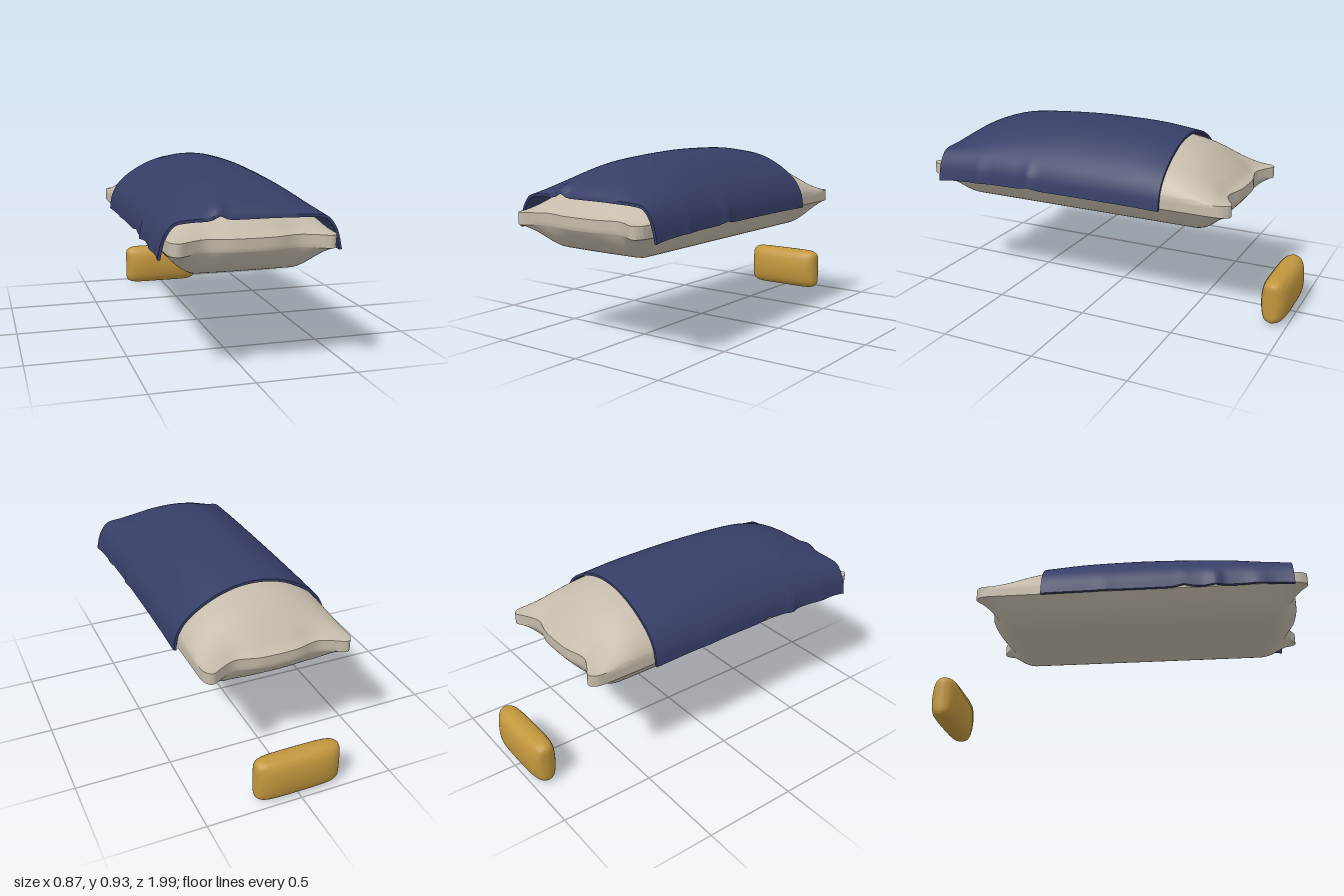
import * as THREE from 'three';
import { mergeVertices, toCreasedNormals } from 'three/addons/utils/BufferGeometryUtils.js';

const clamp = THREE.MathUtils.clamp;
const bump = (v, centre, width) => Math.exp(-(((v - centre) / width) ** 2));
const spread = v => Math.sin(v * Math.PI / 2); // packs grid lines toward the edges

// Smooth lookup through [x, y] points
function profile(points) {
  const n = points.length;
  const slope = i => {
    const a = points[Math.max(i - 1, 0)], b = points[Math.min(i + 1, n - 1)];
    return (b[1] - a[1]) / (b[0] - a[0]);
  };
  return x => {
    x = clamp(x, points[0][0], points[n - 1][0]);
    let i = 0;
    while (i < n - 2 && x > points[i + 1][0]) i++;
    const [x0, y0] = points[i], [x1, y1] = points[i + 1];
    const h = x1 - x0, t = (x - x0) / h, t2 = t * t, t3 = t2 * t;
    return (2 * t3 - 3 * t2 + 1) * y0 + (t3 - 2 * t2 + t) * h * slope(i)
      + (3 * t2 - 2 * t3) * y1 + (t3 - t2) * h * slope(i + 1);
  };
}

// Welded box of +-1 whose vertices are moved by a rule
function moulded(name, material, segments, crease, rule) {
  let geo = new THREE.BoxGeometry(2, 2, 2, ...segments);
  geo.deleteAttribute('uv');
  geo.deleteAttribute('normal');
  geo = mergeVertices(geo);
  const pos = geo.attributes.position;
  for (let i = 0; i < pos.count; i++) {
    pos.setXYZ(i, ...rule(pos.getX(i), pos.getY(i), pos.getZ(i)));
  }
  const mesh = new THREE.Mesh(toCreasedNormals(geo, crease), material);
  mesh.name = name;
  return mesh;
}

// Mattress: domed top, flat tucked base, ends pinched in between the corners
const endRise = profile([[0, 0], [0.05, 0.07], [0.115, 0.27], [0.245, 0.64], [0.365, 0.82], [0.6, 0.95], [0.87, 1]]);
const endPinch = profile([[0, 0.037], [0.1, 0.042], [0.22, 0.068], [0.3, 0.035], [0.35, 0.005], [0.4, 0]]);

function mattressRule(u, v, w) {
  const s = spread(u), t = spread(w);
  const halfW = 0.395, halfL = 0.8725;
  const x = s * halfW * (1 - 0.035 * Math.abs(t) ** 40);
  const z = 0.1275 + t * halfL
    - Math.sign(t) * Math.abs(t) ** 8 * (endPinch(Math.abs(x)) + 0.025 * Math.abs(s) ** 30);
  const dx = halfW * (1 - Math.abs(s)), dz = halfL * (1 - Math.abs(t));
  const top = 0.66 + 0.245 * Math.max(0, 1 - s * s) ** 0.65 * endRise(dz);
  const tuck = (d, r) => Math.sin(Math.PI / 2 * clamp(d / r, 0, 1));
  const bottom = 0.6 - 0.127 * tuck(dx, 0.17) * tuck(dz, 0.22);
  return [x, bottom + (top - bottom) * (v + 1) / 2, z];
}

// Blanket: domed section that flattens toward the front edge
const mirrored = half => new THREE.SplineCurve([
  ...half.slice(1).reverse().map(([x, y]) => new THREE.Vector2(-x, y)),
  ...half.map(([x, y]) => new THREE.Vector2(x, y)),
]);
const domed = mirrored([[0, 0.93], [0.1, 0.918], [0.2, 0.88], [0.3, 0.812], [0.37, 0.74], [0.406, 0.67], [0.416, 0.597]]);
const flat = mirrored([[0, 0.752], [0.1, 0.752], [0.2, 0.75], [0.3, 0.747], [0.365, 0.733], [0.412, 0.67], [0.436, 0.578]]);
const flatten = profile([[-0.385, 0.2], [-0.2, 0.05], [0, 0], [0.2, 0], [0.5, 0.1], [0.65, 0.22], [0.8, 0.5], [0.88, 0.76], [0.92, 1]]);

function blanketPoint(u, z) {
  const k = (u + 1) / 2;
  const p = domed.getPoint(k).lerp(flat.getPoint(k), flatten(z));
  // Side folds and one small crease on the front edge
  const low = clamp((0.78 - p.y) / 0.18, 0, 1) * clamp((Math.abs(u) - 0.55) / 0.3, 0, 1);
  const folds = u > 0
    ? 0.014 * bump(z, 0.36, 0.035) + 0.008 * bump(z, 0.67, 0.04)
    : 0.016 * bump(z, 0.52, 0.035) + 0.01 * bump(z, 0.74, 0.06) + 0.004 * bump(z, -0.05, 0.05);
  p.x += Math.sign(u) * low * folds;
  p.y += low * 0.014 * bump(z, 0.36, 0.04)
    + 0.02 * bump(p.x, -0.15, 0.03) * bump(z, 0.92, 0.06);
  return p;
}

function blanketRule(u, v, w) {
  const z = 0.2675 + 0.6525 * w;
  const p = blanketPoint(u, z);
  if (v < 0) {
    const a = blanketPoint(Math.max(u - 0.01, -1), z), b = blanketPoint(Math.min(u + 0.01, 1), z);
    const along = b.sub(a).normalize();
    p.x += along.y * 0.014;
    p.y -= along.x * 0.014;
  }
  return [p.x, p.y, z];
}

// Pillow: upright cushion, fullest in the middle
function pillowRule(u, v, w) {
  const s = spread(u), t = spread(v);
  const puff = Math.sqrt(Math.max(0, 1 - t * t)) * Math.max(0, 1 - s ** 4) ** 0.6;
  const depth = 0.03 * (1 - 0.4 * t ** 8) * (1 - 0.2 * s ** 12) + 0.047 * puff;
  const round = 1 - 0.02 * w * w;
  return [
    -0.003 + 0.228 * s * (1 - 0.07 * t ** 10) * round,
    0.119 + 0.119 * t * (1 - 0.1 * s ** 10) * round,
    -0.9225 + depth * w,
  ];
}

export function createModel() {
  const colour = (name, hex) => {
    const m = new THREE.MeshStandardMaterial({ color: hex });
    m.name = name;
    return m;
  };
  const linen = colour('linen beige', 0xc4bbaa);
  const navy = colour('navy blue', 0x363e67);
  const gold = colour('mustard gold', 0xc1963d);

  const group = new THREE.Group();
  group.name = 'bedding';
  group.add(
    moulded('mattress', linen, [48, 3, 80], 0.7, mattressRule),
    moulded('blanket', navy, [64, 1, 90], 0.9, blanketRule),
    moulded('pillow', gold, [40, 28, 6], 1.8, pillowRule),
  );
  return group;
}
